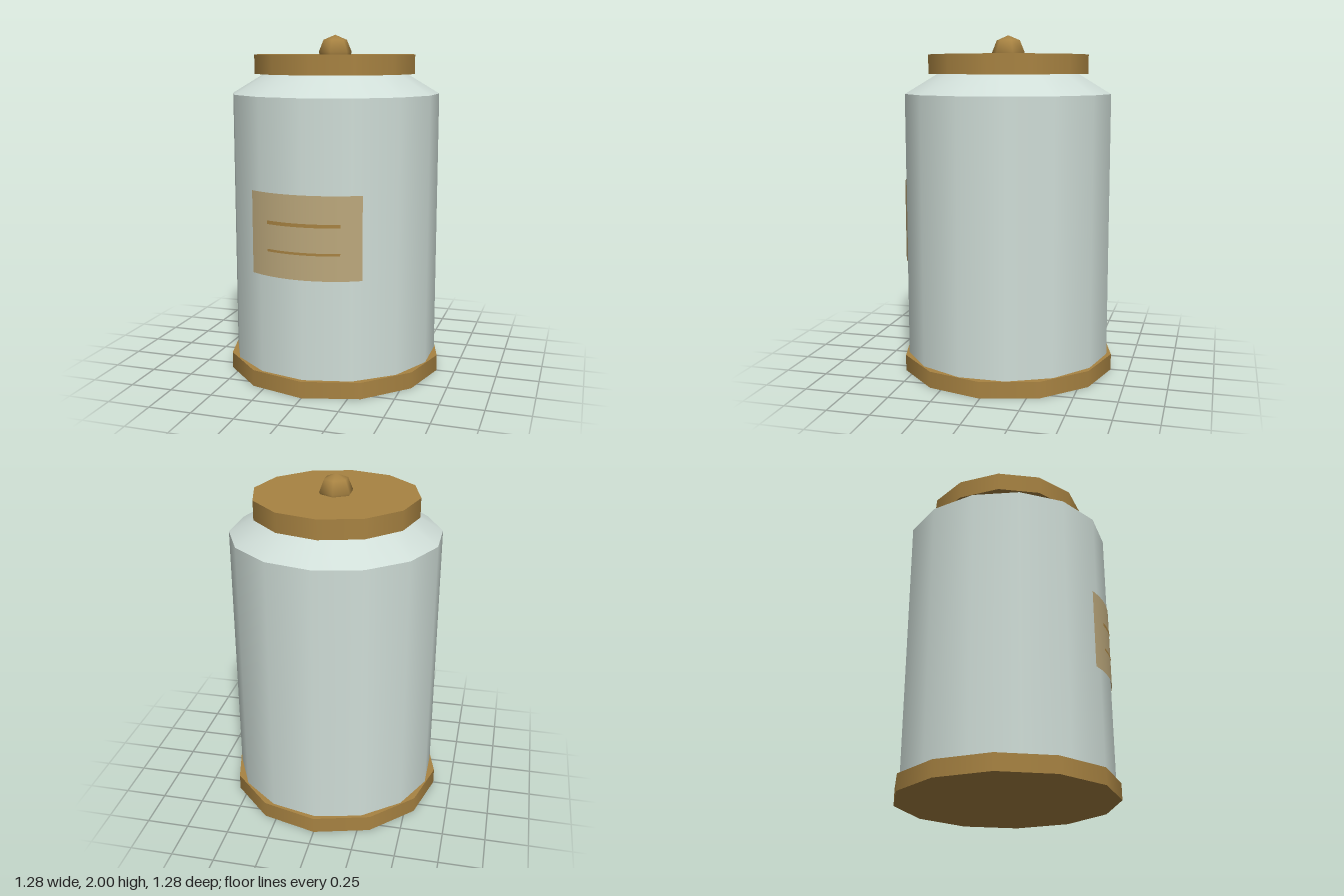
import * as THREE from 'three';

const BRASS = new THREE.MeshStandardMaterial({ color: 0xa88342 });
BRASS.name = 'brass';
const GLAZE = new THREE.MeshStandardMaterial({ color: 0xd0ded8 });
GLAZE.name = 'pale glaze';
const PAPER = new THREE.MeshStandardMaterial({ color: 0xbca87c, side: THREE.DoubleSide });
PAPER.name = 'label paper';

export function createModel() {
  const model = new THREE.Group();
  model.name = 'canister';

  const add = (name, geometry, material, y) => {
    const mesh = new THREE.Mesh(geometry, material);
    mesh.name = name;
    mesh.position.y = y;
    model.add(mesh);
    return mesh;
  };

  // Upright drum between two heights
  const drum = (name, rTop, rBottom, y0, y1, sides, material) =>
    add(name, new THREE.CylinderGeometry(rTop, rBottom, y1 - y0, sides), material, (y0 + y1) / 2);

  // Curved strip centred on the front of the body
  const strip = (name, radius, halfAngle, y0, y1, material) =>
    add(name, new THREE.CylinderGeometry(radius, radius, y1 - y0, 10, 1, true, -halfAngle, halfAngle * 2),
      material, (y0 + y1) / 2);

  // Jar
  drum('base', 0.642, 0.642, 0, 0.096, 12, BRASS);
  drum('body', 0.614, 0.614, 0.05, 1.66, 14, GLAZE);
  drum('shoulder', 0.42, 0.614, 1.66, 1.777, 14, GLAZE);
  drum('lid', 0.48, 0.48, 1.775, 1.887, 12, BRASS);

  // Knob, with corners facing front and back
  const knob = add('knob', new THREE.SphereGeometry(0.1, 6, 4), BRASS, 1.9);
  knob.rotation.y = Math.PI / 2;

  // Front label with two ruled lines
  strip('label', 0.62, 0.542, 0.672, 1.143, PAPER);
  strip('upperLine', 0.623, 0.345, 0.968, 0.988, BRASS);
  strip('lowerLine', 0.623, 0.345, 0.814, 0.828, BRASS);

  return model;
}
